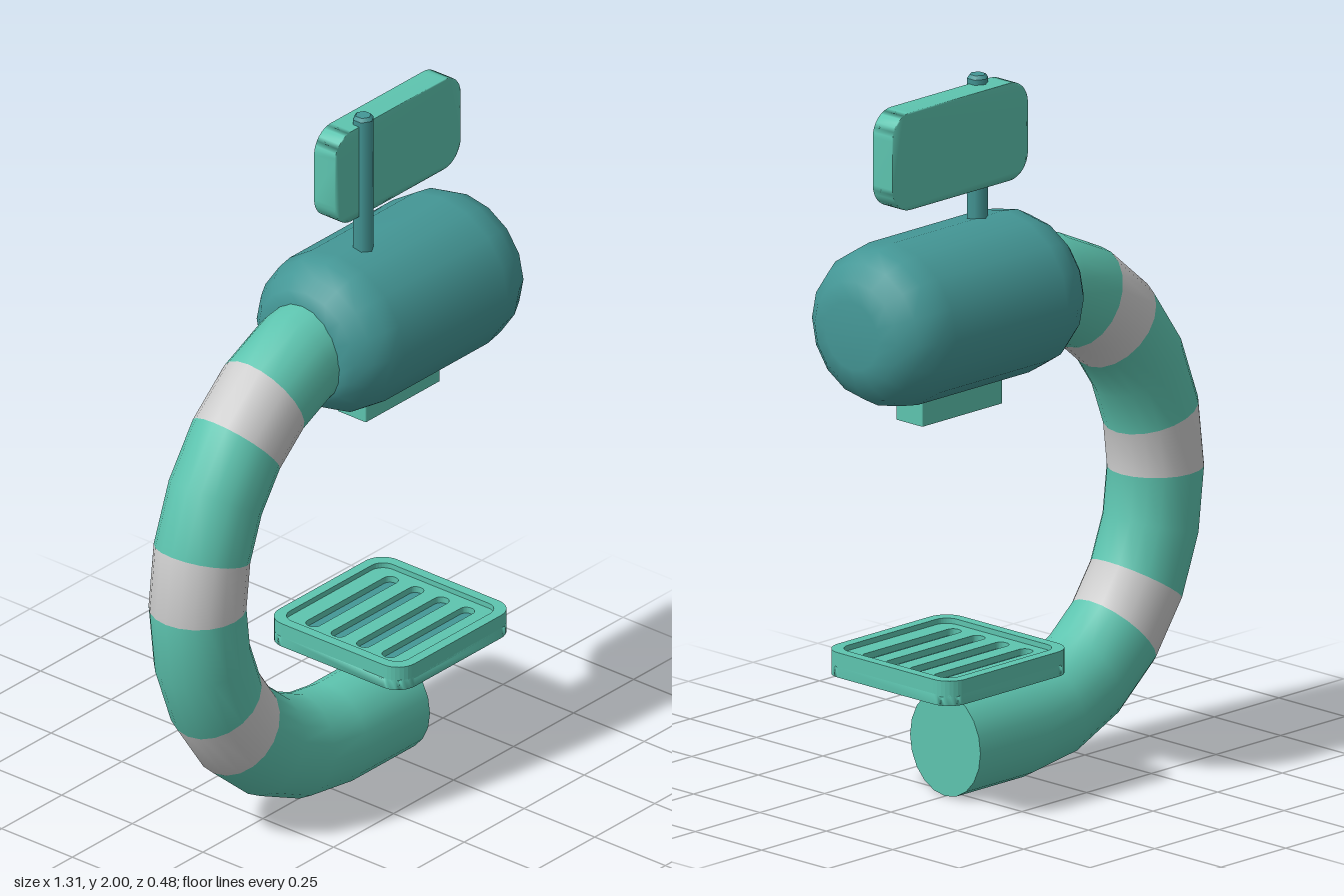
import * as THREE from 'three';
import { mergeVertices, mergeGeometries } from 'three/addons/utils/BufferGeometryUtils.js';

const green = new THREE.MeshStandardMaterial({ color: 0x5dc4af });
const teal = new THREE.MeshStandardMaterial({ color: 0x449796 });
const white = new THREE.MeshStandardMaterial({ color: 0xcccccc });

// Rounded rectangle centred on the origin, as a Shape or a Path
function roundRect(w, h, r, Type = THREE.Shape) {
  const p = new Type(), x = w / 2 - r, y = h / 2 - r, q = Math.PI / 2;
  p.absarc(x, y, r, 0, q);
  p.absarc(-x, y, r, q, 2 * q);
  p.absarc(-x, -y, r, 2 * q, 3 * q);
  p.absarc(x, -y, r, 3 * q, 4 * q);
  p.closePath();
  return p;
}

const extrude = (shape, depth) =>
  new THREE.ExtrudeGeometry(shape, { depth, bevelEnabled: false, curveSegments: 4 });

// Horizontal slab from y0 to y1
const slab = (shape, y0, y1) => extrude(shape, y1 - y0).rotateX(-Math.PI / 2).translate(0, y0, 0);

// Normals blended over every edge
function soften(geo) {
  geo.deleteAttribute('normal');
  geo.deleteAttribute('uv');
  const g = mergeVertices(geo, 1e-4);
  g.computeVertexNormals();
  return g;
}

export function createModel() {
  const root = new THREE.Group();
  const add = (name, geo, mat, x = 0, y = 0, z = 0, parent = root) => {
    const m = new THREE.Mesh(geo, mat);
    m.name = name;
    m.position.set(x, y, z);
    parent.add(m);
    return m;
  };

  // Curved striped arm: half ring in 12 steps, counted from the bottom
  const R = 0.5525, r = 0.1325, sy = 1.11, step = Math.PI / 12, sides = 20;
  const arm = new THREE.Group();
  arm.name = 'arm';
  root.add(arm);
  const stops = [0, 3, 4, 6, 7, 9, 10, 12];
  for (let i = 0; i < stops.length - 1; i++) {
    const n = stops[i + 1] - stops[i];
    const g = new THREE.TorusGeometry(R, r, sides, n, n * step);
    g.rotateZ(1.5 * Math.PI - stops[i + 1] * step).scale(1, sy, 1);
    add(i % 2 ? 'whiteBand' : 'armSection', g, i % 2 ? white : green, 0.03, 0.76, 0, arm);
  }
  const foot = new THREE.CylinderGeometry(r, r, 0.26, sides);
  foot.rotateZ(Math.PI / 2).scale(1, sy, 1);
  add('armFoot', foot, green, 0.16, 0.76 - R * sy, 0, arm);

  // Rounded drum body, turned about x
  const profile = [
    [0, -0.09], [0.13, -0.09], [0.17, -0.07], [0.205, -0.035], [0.23, 0.01], [0.238, 0.06],
    [0.238, 0.49], [0.228, 0.55], [0.2, 0.6], [0.155, 0.636], [0.1, 0.652], [0, 0.652],
  ].map(([a, b]) => new THREE.Vector2(a, b));
  const drum = new THREE.LatheGeometry(profile, 16).rotateZ(-Math.PI / 2).scale(1, 0.955, 1);
  add('drumBody', drum, teal, 0, 1.373, 0);

  // Outlet under the body: frame with a recessed floor
  const frame = roundRect(0.31, 0.1, 0.004);
  frame.holes.push(roundRect(0.27, 0.064, 0.004, THREE.Path));
  add('outletFrame', slab(frame, 1.08, 1.2), green, 0.275);
  add('outletFloor', new THREE.BoxGeometry(0.29, 0.08, 0.08), green, 0.275, 1.14, 0);

  // Hexagonal post with a small chamfer at the top
  const post = mergeGeometries([
    new THREE.CylinderGeometry(0.03, 0.03, 0.42, 6, 1, true).translate(0, 1.78, 0),
    new THREE.CylinderGeometry(0.022, 0.03, 0.01, 6).translate(0, 1.995, 0),
  ]);
  add('signPost', post, teal, 0.148, 0, 0.017);

  // Sign board behind the post
  add('signBoard', soften(extrude(roundRect(0.525, 0.275, 0.07), 0.073)), green, 0.283, 1.838, -0.049);

  // Drip tray: base, raised rim, slotted grille over a dark insert
  const tray = new THREE.Group();
  tray.name = 'tray';
  tray.position.x = 0.28;
  root.add(tray);
  const base = soften(slab(roundRect(0.48, 0.48, 0.06), 0.345, 0.375));
  add('trayBase', base, green, 0, 0, 0, tray);
  const rim = roundRect(0.48, 0.48, 0.06);
  rim.holes.push(roundRect(0.42, 0.42, 0.04, THREE.Path));
  add('trayRim', slab(rim, 0.37, 0.415), green, 0, 0, 0, tray);
  const grille = roundRect(0.43, 0.43, 0.045);
  for (let i = 0; i < 4; i++) {
    const dy = (i - 1.5) * 0.09;
    const pts = roundRect(0.36, 0.044, 0.02, THREE.Path).getPoints(4);
    grille.holes.push(new THREE.Path(pts.map((p) => new THREE.Vector2(p.x, p.y + dy))));
  }
  add('trayGrille', slab(grille, 0.376, 0.4), green, 0, 0, 0, tray);
  add('trayInsert', new THREE.BoxGeometry(0.4, 0.02, 0.38), teal, 0, 0.372, 0, tray);

  return root;
}
